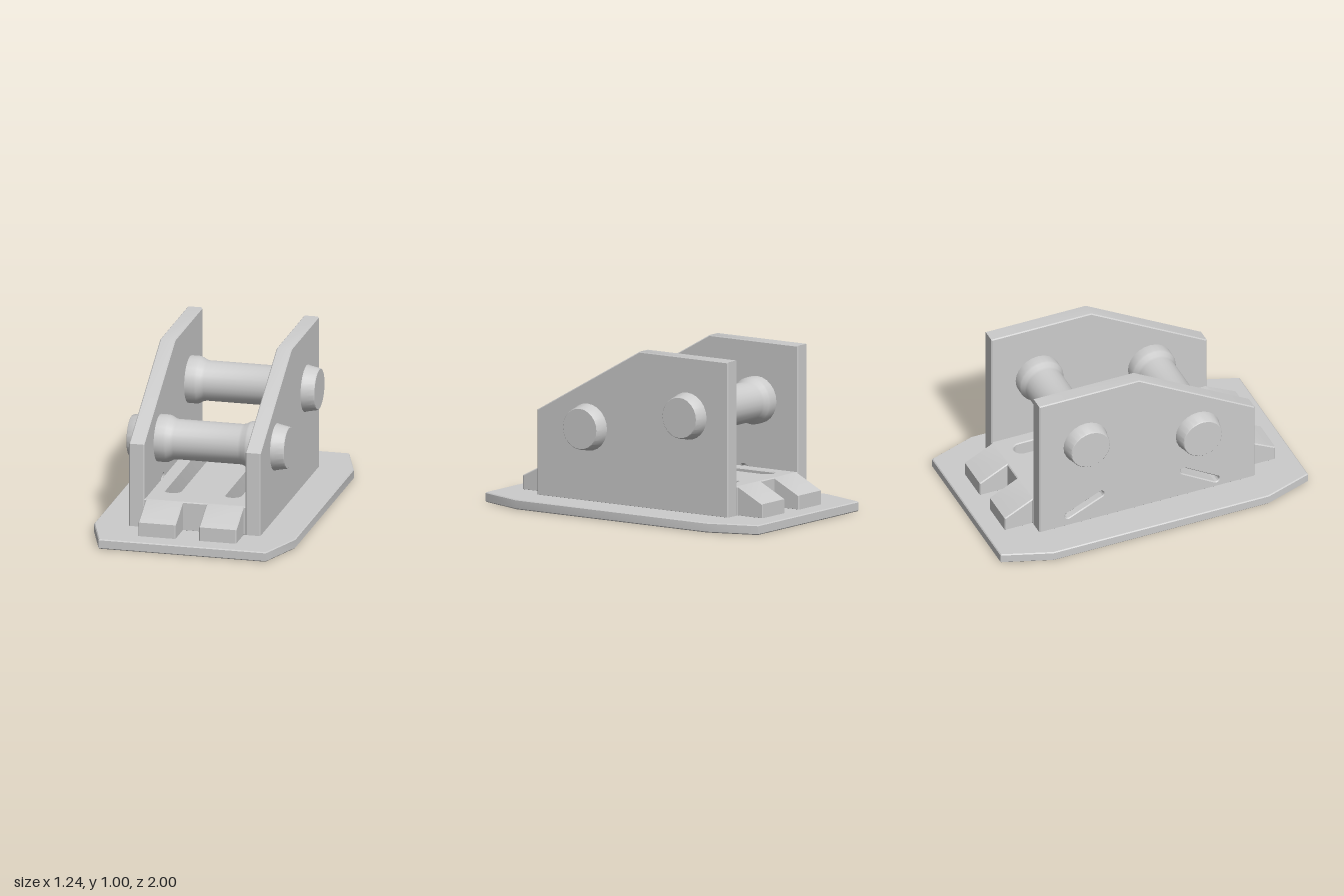
import * as THREE from 'three';
import { toCreasedNormals } from 'three/addons/utils/BufferGeometryUtils.js';

const material = new THREE.MeshStandardMaterial({ color: 0xcccccc });
const polygon = (points) => new THREE.Shape(points.map(([a, b]) => new THREE.Vector2(a, b)));

// Extrusion with a fine bevel that stays inside the given size.
function extrude(shape, depth, bevel = 0.006) {
  const geometry = new THREE.ExtrudeGeometry(shape, {
    depth: depth - 2 * bevel, bevelThickness: bevel, bevelSize: bevel,
    bevelOffset: -bevel, bevelSegments: 1, curveSegments: 8,
  });
  return geometry.translate(0, 0, bevel);
}

// Profile in (z, y), extruded across x from x0 to x1.
const extrudeX = (shape, x0, x1) =>
  extrude(shape, x1 - x0).rotateY(-Math.PI / 2).translate(x1, 0, 0);

// Outline in (x, -z), extruded upward from y0 to y1.
const extrudeY = (shape, y0, y1) =>
  extrude(shape, y1 - y0).rotateX(-Math.PI / 2).translate(0, y0, 0);

// Round-ended slot running between two points.
function slot(ax, ay, bx, by, r) {
  const angle = Math.atan2(by - ay, bx - ax);
  const path = new THREE.Path();
  path.absarc(bx, by, r, angle - Math.PI / 2, angle + Math.PI / 2, false);
  path.absarc(ax, ay, r, angle + Math.PI / 2, angle + 1.5 * Math.PI, false);
  path.closePath();
  return path;
}

export function createModel() {
  const model = new THREE.Group();
  const add = (name, geometry) => {
    const mesh = new THREE.Mesh(toCreasedNormals(geometry, 0.6), material);
    mesh.name = name;
    model.add(mesh);
    return mesh;
  };

  // Base plate with clipped corners
  add('basePlate', extrudeY(polygon([
    [-0.515, -1], [0.515, -1], [0.62, -0.7], [0.62, 0.7],
    [0.515, 1], [-0.515, 1], [-0.62, 0.7], [-0.62, -0.7],
  ]), 0, 0.06));

  // Floor block with two long slots
  const floor = polygon([[-0.312, -0.7], [0.312, -0.7], [0.312, 0.7], [-0.312, 0.7]]);
  for (const x of [-0.185, 0.185]) floor.holes.push(slot(x, -0.495, x, 0.56, 0.048));
  add('floorBlock', extrudeY(floor, 0.055, 0.236));

  // Sloped side plates; the one at -x has two angled slots
  for (const side of [-1, 1]) {
    const plate = polygon([[-0.7, 0.055], [0.7, 0.055], [0.7, 0.575], [-0.05, 1], [-0.7, 1]]);
    if (side < 0) {
      plate.holes.push(slot(-0.51, 0.13, -0.3, 0.225, 0.02));
      plate.holes.push(slot(0.24, 0.235, 0.45, 0.11, 0.02));
    }
    const [x0, x1] = side < 0 ? [-0.405, -0.312] : [0.312, 0.405];
    add(side < 0 ? 'rightSidePlate' : 'leftSidePlate', extrudeX(plate, x0, x1));
  }

  // Wedge tabs at both ends
  for (const end of [-1, 1]) {
    for (const side of [-1, 1]) {
      const wedge = polygon([[0.68, 0.055], [0.88, 0.055], [0.88, 0.145], [0.7, 0.236], [0.68, 0.236]]);
      const tab = add(end > 0 ? 'frontTab' : 'backTab', extrudeX(wedge, -0.115, 0.115));
      tab.position.x = side * 0.187;
      if (end < 0) tab.rotation.y = Math.PI;
    }
  }

  // Cross pins with thicker collars and tapered ends
  const half = [
    [0, 0.485], [0.122, 0.485], [0.126, 0.481], [0.138, 0.42], [0.143, 0.405],
    [0.143, 0.255], [0.139, 0.243], [0.125, 0.217], [0.121, 0.2],
  ];
  const profile = [...half.map(([r, x]) => [r, -x]), ...half.slice().reverse()]
    .map(([r, x]) => new THREE.Vector2(r, x));
  for (const [name, y, z] of [['frontPin', 0.505, 0.33], ['backPin', 0.645, -0.4]]) {
    add(name, new THREE.LatheGeometry(profile, 24).rotateZ(-Math.PI / 2)).position.set(0, y, z);
  }
  return model;
}
